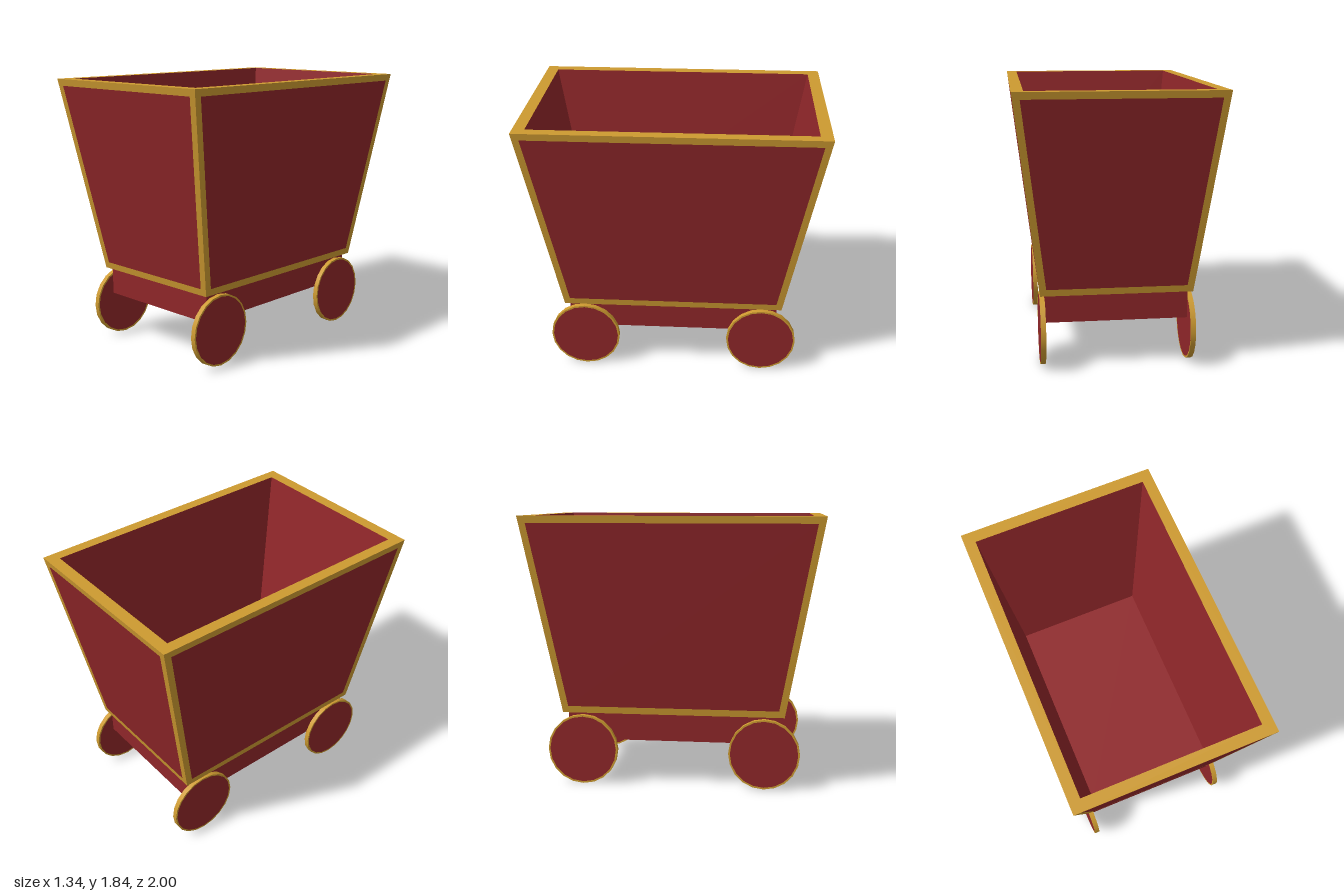
import * as THREE from 'three';

const red = new THREE.MeshStandardMaterial({ color: 0x8f2629 });
const gold = new THREE.MeshStandardMaterial({ color: 0xcd9a30 });

// Tub dimensions: outer shell tapers from the rim down to the base
const BASE = 0.5, RIM = 1.84, FLOOR = 0.62, TRIM = 0.046;
const outerX = y => THREE.MathUtils.mapLinear(y, BASE, RIM, 0.505, 0.668);
const outerZ = y => THREE.MathUtils.mapLinear(y, BASE, RIM, 0.757, 1.0);

// Flat-shaded mesh from quads, corners counter-clockwise seen from the front
function quadMesh(name, material, quads) {
  const pos = [];
  for (const [a, b, c, d] of quads) for (const p of [a, b, c, a, c, d]) pos.push(...p);
  const geo = new THREE.BufferGeometry();
  geo.setAttribute('position', new THREE.Float32BufferAttribute(pos, 3));
  geo.computeVertexNormals();
  const mesh = new THREE.Mesh(geo, material);
  mesh.name = name;
  return mesh;
}

// Rectangle of corners at one height, counter-clockwise seen from above
const ring = (x, y, z) => [[-x, y, z], [x, y, z], [x, y, -z], [-x, y, -z]];
// Band of four quads joining two rings
const band = (a, b) => a.map((p, i) => {
  const j = (i + 1) % 4;
  return [p, a[j], b[j], b[i]];
});

function createTub() {
  const tub = new THREE.Group();
  tub.name = 'tub';

  // Each outer wall: a red panel framed by gold trim
  const walls = [
    ['front', outerX, (u, y) => [u, y, outerZ(y)]],
    ['left', outerZ, (u, y) => [outerX(y), y, -u]],
    ['back', outerX, (u, y) => [-u, y, -outerZ(y)]],
    ['right', outerZ, (u, y) => [-outerX(y), y, u]],
  ];
  for (const [side, half, place] of walls) {
    const outline = inset => {
      const lo = BASE + inset, hi = RIM - inset;
      const a = half(lo) - inset, b = half(hi) - inset;
      return [place(-a, lo), place(a, lo), place(b, hi), place(-b, hi)];
    };
    const panel = outline(TRIM);
    tub.add(quadMesh(side + 'Trim', gold, band(outline(0), panel)));
    tub.add(quadMesh(side + 'Panel', red, [panel]));
  }

  // Rim, inner walls, floor and underside
  const opening = ring(0.593, RIM, 0.92);
  const floor = ring(0.448, FLOOR, 0.695);
  tub.add(quadMesh('rim', gold, band(ring(outerX(RIM), RIM, outerZ(RIM)), opening)));
  tub.add(quadMesh('innerWalls', red, band(opening, floor)));
  tub.add(quadMesh('floor', red, [floor]));
  tub.add(quadMesh('underside', gold, [ring(outerX(BASE), BASE, outerZ(BASE)).reverse()]));
  return tub;
}

// Wheel: gold tyre with thin gold edge and a red disc on both faces
function createWheel(name) {
  const wheel = new THREE.Group();
  wheel.name = name;
  const R = 0.242, r = 0.23, w = 0.034, SIDES = 20;
  const tyre = new THREE.Mesh(new THREE.CylinderGeometry(R, R, w, SIDES, 1, true), gold);
  tyre.name = 'tyre';
  tyre.rotation.z = Math.PI / 2;
  wheel.add(tyre);
  for (const s of [-1, 1]) {
    const edge = new THREE.Mesh(new THREE.RingGeometry(r, R, SIDES), gold);
    const disc = new THREE.Mesh(new THREE.CircleGeometry(r, SIDES), red);
    edge.name = 'tyreEdge';
    disc.name = 'disc';
    for (const part of [edge, disc]) {
      part.rotation.y = s * Math.PI / 2;
      part.position.x = s * w / 2;
      wheel.add(part);
    }
  }
  return wheel;
}

export function createModel() {
  const cart = new THREE.Group();
  cart.name = 'cart';
  cart.add(createTub());

  // Chassis block under the tub
  const chassis = new THREE.Mesh(new THREE.BoxGeometry(0.95, 0.19, 1.45), red);
  chassis.name = 'chassis';
  chassis.position.y = 0.405;
  cart.add(chassis);

  for (const [sx, side] of [[1, 'Left'], [-1, 'Right']]) {
    for (const [sz, end] of [[1, 'front'], [-1, 'back']]) {
      const wheel = createWheel(end + side + 'Wheel');
      wheel.position.set(sx * 0.49, 0.242, sz * 0.622);
      cart.add(wheel);
    }
  }
  return cart;
}
